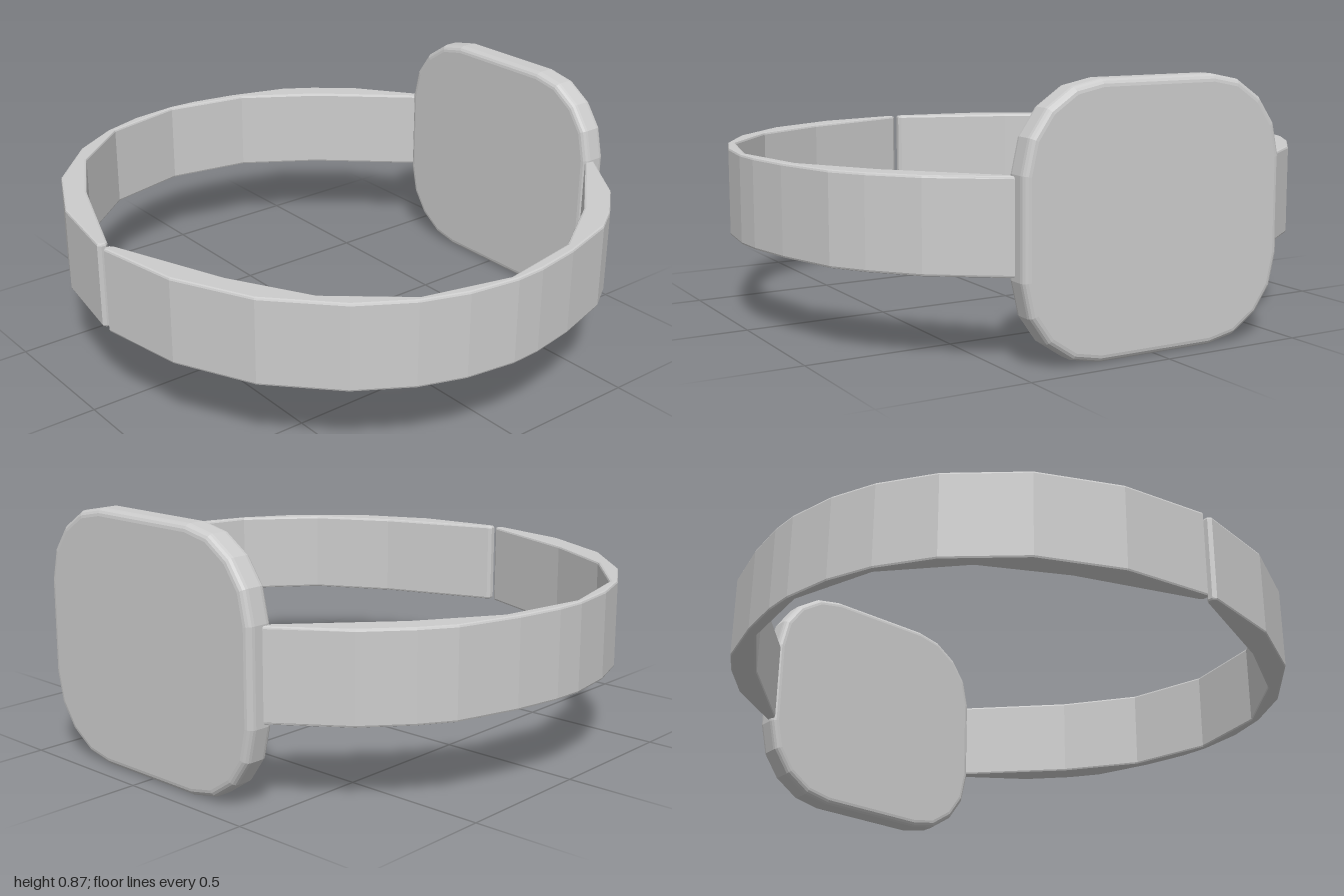
import * as THREE from 'three';

const material = new THREE.MeshStandardMaterial({ color: 0xcccccc, flatShading: true });

// Extrudes an outline with rounded edges, keeping the outline's outer size.
function bevelled(points, depth, bevel, segments) {
  const shape = new THREE.Shape(points.map(([x, y]) => new THREE.Vector2(x, y)));
  return new THREE.ExtrudeGeometry(shape, {
    depth: depth - 2 * bevel,
    bevelEnabled: true,
    bevelSize: bevel,
    bevelOffset: -bevel,
    bevelThickness: bevel,
    bevelSegments: segments,
  }).translate(0, 0, bevel);
}

// Plan of one strap half as [x, z]: outer edge from plate to tip, inner edge back.
const outer = [
  [0.465, -0.895], [0.71, -0.72], [0.83, -0.58], [0.9, -0.47], [0.965, -0.25], [0.995, -0.08], [1, 0.03],
  [0.975, 0.21], [0.92, 0.37], [0.81, 0.55], [0.6, 0.75], [0.33, 0.88], [0.022, 0.932], [0.01, 0.922],
];
const inner = [
  [0.01, 0.905], [0.02, 0.894], [0.43, 0.74], [0.7, 0.59], [0.9, 0.35],
  [0.975, 0.04], [0.92, -0.27], [0.755, -0.53], [0.465, -0.855],
];

function strap(side) {
  const plan = [...outer, ...inner].map(([x, z]) => [x * side, -z]);
  const geometry = bevelled(plan, 0.305, 0.008, 2);
  geometry.rotateX(-Math.PI / 2).translate(0, 0.285, 0);
  const mesh = new THREE.Mesh(geometry, material);
  mesh.name = side > 0 ? 'leftStrap' : 'rightStrap';
  return mesh;
}

// Square plate with faceted round corners, mirrored from one quarter.
function plate() {
  const quarter = [[0.485, 0.16], [0.46, 0.27], [0.4, 0.355], [0.31, 0.415], [0.21, 0.435]];
  const flipped = [...quarter].reverse();
  const outline = [
    ...quarter,
    ...flipped.map(([x, y]) => [-x, y]),
    ...quarter.map(([x, y]) => [-x, -y]),
    ...flipped.map(([x, y]) => [x, -y]),
  ];
  const mesh = new THREE.Mesh(bevelled(outline, 0.098, 0.025, 4), material);
  mesh.position.set(0, 0.435, -0.936);
  mesh.name = 'facePlate';
  return mesh;
}

export function createModel() {
  const model = new THREE.Group();
  model.name = 'bracelet';
  model.add(plate(), strap(1), strap(-1));
  return model;
}
